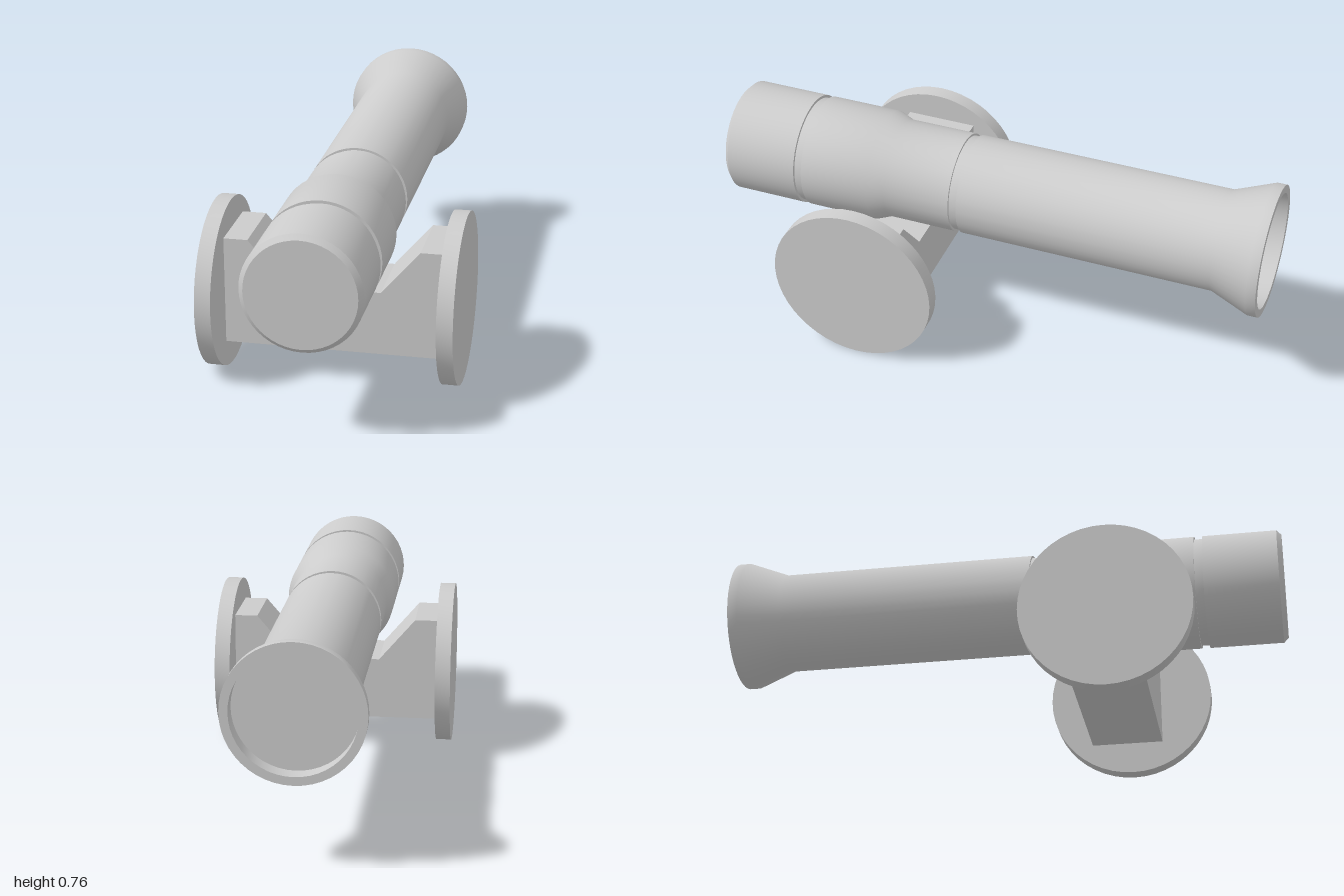
import * as THREE from 'three';
import { toCreasedNormals } from 'three/addons/utils/BufferGeometryUtils.js';

const material = new THREE.MeshStandardMaterial({ color: 0xcccccc });

function addPart(group, name, geometry) {
  const mesh = new THREE.Mesh(toCreasedNormals(geometry, 0.5), material);
  mesh.name = name;
  group.add(mesh);
  return mesh;
}

export function createModel() {
  const model = new THREE.Group();
  model.name = 'cannon';

  // Barrel: radius and z, from the recessed muzzle at the back to the closed breech at the front
  const profile = [
    [0, -0.94], [0.205, -0.94], [0.205, -1], [0.234, -1], [0.234, -0.965], [0.18, -0.825],
    [0.18, 0.1], [0.172, 0.1], [0.172, 0.13], [0.18, 0.13], // front groove
    [0.18, 0.38], [0.202, 0.435],
    [0.202, 0.69], [0.192, 0.69], [0.192, 0.72], [0.202, 0.72], // breech groove
    [0.202, 0.983], [0.185, 1], [0, 1],
  ].map(([r, z]) => new THREE.Vector2(r, z));
  const barrel = addPart(model, 'barrel', new THREE.LatheGeometry(profile, 48).rotateX(Math.PI / 2));
  barrel.position.y = 0.528;

  // Carriage: a block with a sloped notch that cradles the barrel
  const outline = new THREE.Shape([
    [-0.385, 0.115], [0.385, 0.115], [0.385, 0.498], [0.297, 0.498],
    [0.163, 0.342], [-0.163, 0.342], [-0.297, 0.498], [-0.385, 0.498],
  ].map(([x, y]) => new THREE.Vector2(x, y)));
  const carriage = addPart(model, 'carriage',
    new THREE.ExtrudeGeometry(outline, { depth: 0.26, bevelEnabled: false }));
  carriage.position.z = 0.25;

  // Solid disc wheels
  for (const side of [-1, 1]) {
    const wheel = addPart(model, side > 0 ? 'leftWheel' : 'rightWheel',
      new THREE.CylinderGeometry(0.299, 0.299, 0.056, 48).rotateZ(Math.PI / 2));
    wheel.position.set(side * 0.409, 0.299, 0.398);
  }

  return model;
}
